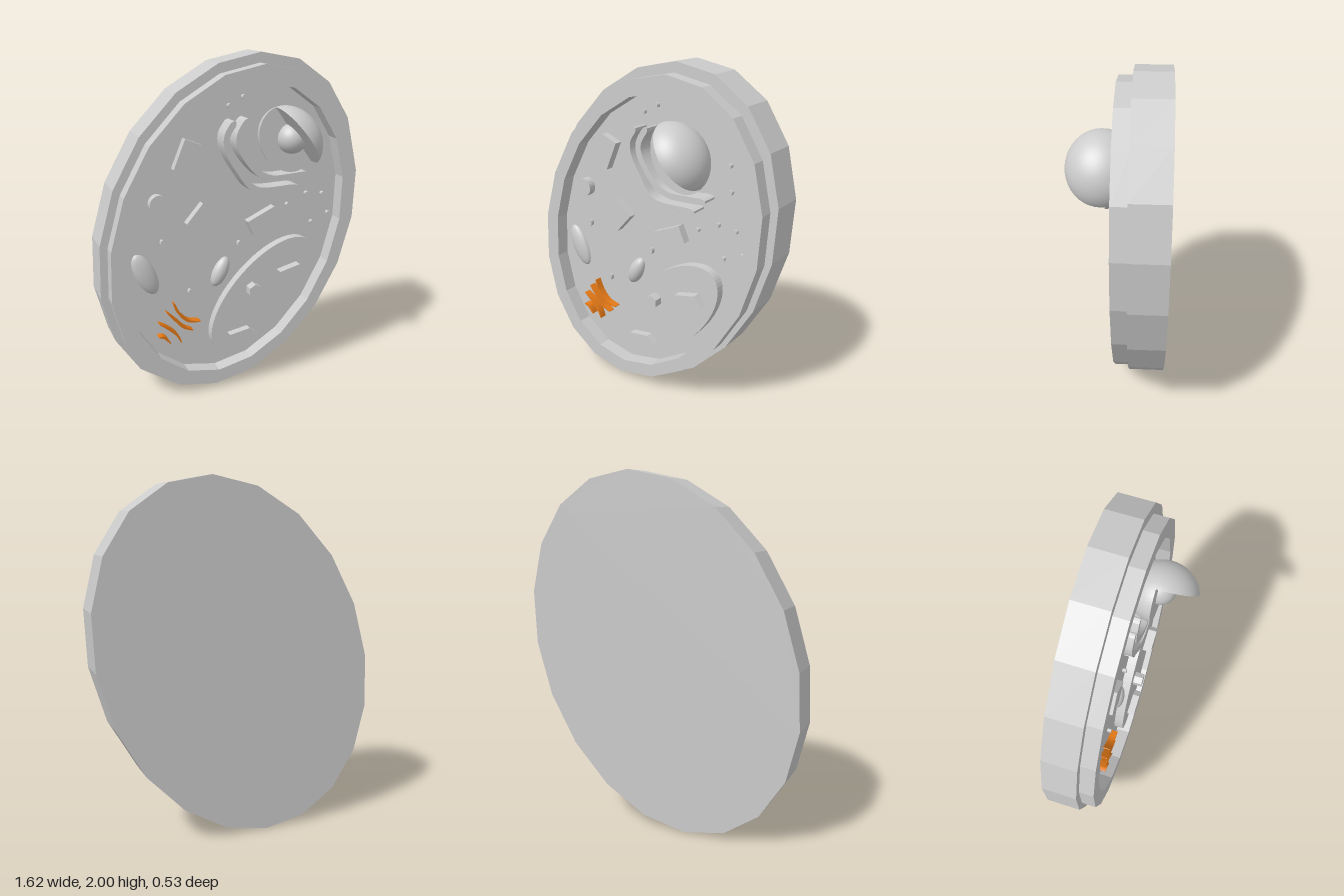
import * as THREE from 'three';

const FLOOR = -0.07;
const grey = new THREE.MeshStandardMaterial({ color: 0xcccccc });
const orange = new THREE.MeshStandardMaterial({ color: 0xe67a17 });
const V = (x, y) => new THREE.Vector2(x, y);

// Skewed regular polygon, counter-clockwise: centre + up * cos - side * sin
function skewedPolygon(cy, up, side, n = 20) {
  return Array.from({ length: n }, (_, i) => {
    const t = (i / n) * Math.PI * 2, c = Math.cos(t), s = Math.sin(t);
    return V(up[0] * c - side[0] * s, cy + up[1] * c - side[1] * s);
  });
}

function ellipse(x, y, a, b, angle, n = 48) {
  return new THREE.EllipseCurve(x, y, a, b, 0, Math.PI * 2, false, angle).getPoints(n).slice(0, n);
}

// Band along a smooth path; width(t) gives the half width
function band(path, width, n = 28) {
  const curve = new THREE.SplineCurve(path.map(p => V(...p)));
  const left = [], right = [];
  for (let i = 0; i <= n; i++) {
    const t = i / n, p = curve.getPoint(t), d = curve.getTangent(t), w = width(t);
    left.push(V(p.x - d.y * w, p.y + d.x * w));
    right.push(V(p.x + d.y * w, p.y - d.x * w));
  }
  return right.concat(left.reverse());
}

export function createModel() {
  const group = new THREE.Group();

  const add = (name, geometry, material = grey, parent = group) => {
    const mesh = new THREE.Mesh(geometry, material);
    mesh.name = name;
    parent.add(mesh);
    return mesh;
  };

  // Slab with the given outline between two depths
  const slab = (name, points, z0, z1, material = grey, hole = null) => {
    const shape = new THREE.Shape(points);
    if (hole) shape.holes.push(new THREE.Path(hole));
    const geo = new THREE.ExtrudeGeometry(shape, { depth: z1 - z0, bevelEnabled: false });
    geo.translate(0, 0, z0);
    return add(name, geo, material);
  };

  const ellipsoid = (name, x, y, z, radii, angle) => {
    const mesh = add(name, new THREE.SphereGeometry(1, 32, 20));
    mesh.scale.set(...radii);
    mesh.rotation.z = angle;
    mesh.position.set(x, y, z);
  };

  // Cell body and its raised wall
  slab('cellBase', skewedPolygon(1, [0.167, 0.998], [0.798, 0.013]), -0.27, FLOOR);
  slab('cellWall', skewedPolygon(0.985, [0.158, 0.955], [0.755, 0.012]), FLOOR, 0.015, grey,
    skewedPolygon(0.981, [0.135, 0.862], [0.667, 0.01]));

  // Nucleus: one tilted ellipsoid with the front of one side cut away
  const nucleus = new THREE.Group();
  nucleus.name = 'nucleus';
  nucleus.scale.set(0.17, 0.205, 0.19);
  nucleus.rotation.z = 0.627;
  nucleus.position.set(0.28, 1.525, 0.08);
  group.add(nucleus);
  // Sphere cap beyond height k, closed by a flat face
  const cap = (name, k, turn) => {
    const angle = Math.acos(k);
    const dome = new THREE.SphereGeometry(1, 40, 20, 0, Math.PI * 2, 0, angle);
    const face = new THREE.CircleGeometry(Math.sin(angle), 40).rotateX(Math.PI / 2).translate(0, k, 0);
    add(name, turn(dome), grey, nucleus);
    add(name + 'CutFace', turn(face), grey, nucleus);
  };
  cap('nucleusDome', 0.235, g => g.rotateZ(-Math.PI / 2));
  cap('nucleusBowl', 0.116, g => g.rotateX(-Math.PI / 2));
  ellipsoid('nucleolus', 0.3, 1.53, 0.06, [0.088, 0.088, 0.088], 0);

  // Folded membranes wrapped around the nucleus
  const roundEnds = t => 0.018 * Math.sqrt(Math.min(1, 0.1 + 18 * Math.min(t, 1 - t)));
  [
    [[-0.03, 1.64], [-0.08, 1.56], [-0.07, 1.47], [0, 1.35], [0.07, 1.26], [0.16, 1.23], [0.37, 1.235]],
    [[0.05, 1.65], [-0.005, 1.56], [0.01, 1.47], [0.1, 1.35], [0.19, 1.3], [0.3, 1.297], [0.435, 1.305]],
  ].forEach(path => slab('foldedMembrane', band(path, roundEnds, 40), FLOOR, 0.028));

  // Vacuole with crystals on top
  slab('vacuole', ellipse(0.17, 0.56, 0.435, 0.212, 0.785, 64), FLOOR, -0.015);
  slab('vacuoleCrystal', [V(0.257, 0.712), V(0.39, 0.743), V(0.438, 0.69), V(0.316, 0.67)], -0.02, 0.038);
  slab('vacuoleCrystal', [V(-0.07, 0.35), V(0.06, 0.371), V(0.109, 0.329), V(-0.024, 0.302)], -0.02, 0.03);
  slab('vacuoleHexagon', ellipse(0.093, 0.615, 0.042, 0.042, Math.PI / 2, 6), -0.02, 0.04);

  // Box-shaped bodies: x, y, width, height, angle
  [
    [-0.292, 1.452, 0.107, 0.18, -0.4],
    [-0.207, 1.08, 0.139, 0.15, -0.72],
    [0.174, 1.027, 0.187, 0.104, 0.42],
  ].forEach(([x, y, w, h, angle]) => {
    const box = add('storageBlock', new THREE.BoxGeometry(w, h, 0.05));
    box.position.set(x, y, FLOOR + 0.025);
    box.rotation.z = angle;
  });

  // Round body
  slab('roundBody', ellipse(-0.468, 1.2, 0.05, 0.055, 0, 24), FLOOR, -0.023);

  // Smooth oval bodies
  ellipsoid('ovalBody', -0.55, 0.786, FLOOR, [0.06, 0.137, 0.035], 0.42);
  ellipsoid('ovalBody', -0.093, 0.733, FLOOR, [0.047, 0.097, 0.045], -0.45);

  // Scattered small grains: x, y
  [
    [-0.032, 1.715], [0.056, 1.76], [0.527, 1.5], [0.54, 1.358], [0.47, 1.16], [0.58, 1.146],
    [0.625, 1.018], [0.512, 0.972], [0.342, 1.103], [0.21, 1.19],
  ].forEach(([x, y]) => slab('grain', ellipse(x, y, 0.013, 0.013, 0, 12), FLOOR, -0.045));
  [[-0.446, 0.966], [0.026, 0.896], [-0.289, 0.637]]
    .forEach(([x, y]) => slab('ovalGrain', ellipse(x, y, 0.012, 0.02, 0, 16), FLOOR, -0.045));

  // Curved orange stack
  const taper = t => 0.002 + 0.006 * Math.sin(Math.PI * t);
  [
    [[-0.395, 0.594], [-0.365, 0.52], [-0.31, 0.465], [-0.236, 0.45]],
    [[-0.443, 0.541], [-0.39, 0.483], [-0.342, 0.43], [-0.284, 0.4]],
    [[-0.49, 0.477], [-0.438, 0.44], [-0.385, 0.387], [-0.358, 0.33]],
    [[-0.496, 0.393], [-0.459, 0.382], [-0.427, 0.34]],
  ].forEach(path => slab('stackedFold', band(path, taper), FLOOR, -0.025, orange));

  return group;
}
